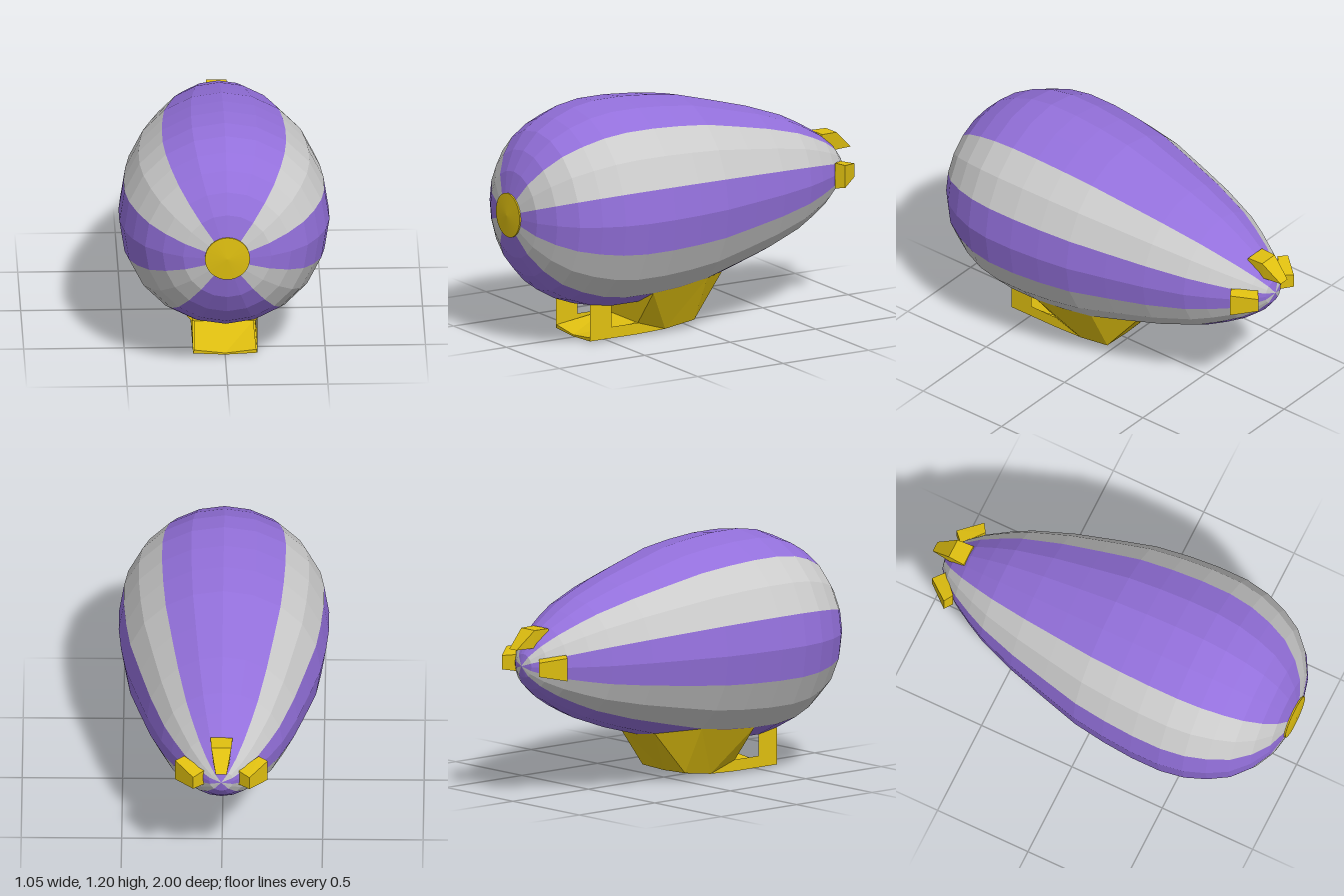
import * as THREE from 'three';
import { ConvexGeometry } from 'three/addons/geometries/ConvexGeometry.js';

const AXIS_Y = 0.677;
const paint = (color, side = THREE.FrontSide) =>
  new THREE.MeshStandardMaterial({ color, side, flatShading: true });

export function createModel() {
  const model = new THREE.Group();
  model.name = 'airship';
  const purple = paint(0x9370db), grey = paint(0xcccccc);
  const gold = paint(0xe0c010), goldShell = paint(0xe0c010, THREE.DoubleSide);

  const add = (name, geometry, material, parent = model) => {
    const mesh = new THREE.Mesh(geometry, material);
    mesh.name = name;
    parent.add(mesh);
    return mesh;
  };
  // Revolve [radius, z] pairs about the long axis; angle 0 points down
  const revolve = (profile, segments, start = 0, length = Math.PI * 2) =>
    new THREE.LatheGeometry(profile.map(p => new THREE.Vector2(...p)), segments, start, length)
      .rotateX(Math.PI / 2).translate(0, AXIS_Y, 0);

  // Envelope: 20 facets around, split into coloured stripes
  const hull = [
    [0, -0.945], [0.06, -0.93], [0.125, -0.88], [0.19, -0.8], [0.25, -0.7], [0.302, -0.6],
    [0.375, -0.4], [0.432, -0.2], [0.486, 0], [0.51, 0.17], [0.523, 0.33], [0.523, 0.485],
    [0.503, 0.61], [0.462, 0.72], [0.405, 0.82], [0.32, 0.9], [0.22, 0.957], [0.112, 0.985], [0, 0.988],
  ];
  const envelope = new THREE.Group();
  envelope.name = 'envelope';
  model.add(envelope);
  const step = Math.PI / 10;
  let facet = -2;
  [4, 2, 2, 2, 4, 2, 2, 2].forEach((count, i) => {
    add(i % 2 ? 'greyStripe' : 'purpleStripe', revolve(hull, count, facet * step, count * step),
      i % 2 ? grey : purple, envelope);
    facet += count;
  });

  // Nose cap
  add('noseCap', revolve([[0.112, 0.975], [0.112, 0.992], [0, 1]], 32), gold);

  // Tail fins: corners are [distance from axis, z, half width]
  const fin = (name, corners, turn) => {
    const points = corners.flatMap(([r, z, w]) =>
      [new THREE.Vector3(-w, r, z), new THREE.Vector3(w, r, z)]);
    const mesh = add(name, new ConvexGeometry(points), gold);
    mesh.position.y = AXIS_Y;
    mesh.rotation.z = turn;
  };
  fin('topFin', [[0.17, -0.81, 0.055], [0.182, -0.815, 0.055], [0.182, -0.9, 0.05],
    [0.09, -1, 0.027], [0.09, -0.9, 0.04]], 0);
  const sideFin = [[0.185, -0.81, 0.065], [0.23, -0.84, 0.058],
    [0.14, -0.95, 0.035], [0.085, -0.9, 0.042]];
  fin('leftFin', sideFin, -Math.PI / 2);
  fin('rightFin', sideFin, Math.PI / 2);

  // Gondola: corner points of the left half, mirrored to the right
  const frontLow = [0.16, 0.012, 0.61], frontTop = [0.16, 0.2, 0.61];
  const postLow = [0.16, 0.012, 0.485], postTop = [0.16, 0.182, 0.485];
  const sillFront = [0.16, 0.07, 0.485], sillRear = [0.16, 0.07, 0.33];
  const rearLow = [0.16, 0.012, 0.33], rearTop = [0.16, 0.182, 0.33];
  const chine1 = [0.16, 0.018, 0.17], chine2 = [0.16, 0.042, 0], chine3 = [0.134, 0.262, -0.18];
  const flare1 = [0.307, 0.254, 0.33], flare2 = [0.286, 0.285, 0], flare3 = [0.256, 0.325, -0.18];
  const keel0 = [0, 0.004, 0.61], keel1 = [0, 0, 0.17], keel2 = [0, 0.036, 0], keel3 = [0, 0.243, -0.18];
  const floorFront = [0.155, 0.03, 0.61], floorRear = [0.148, 0.07, 0.33];
  const floorMid = [0, 0.012, 0.61], floorMidRear = [0, 0.07, 0.33];

  const parts = {
    // Walls around the side window
    cabinWall: [[frontLow, postLow, postTop, frontTop], [postLow, rearLow, sillRear, sillFront]],
    // Wide rear fairing running up to the envelope
    fairing: [[flare1, rearTop, sillRear], [flare1, sillRear, chine1], [sillRear, rearLow, chine1],
      [flare1, chine1, flare2], [chine1, chine2, flare2], [flare2, chine2, chine3, flare3]],
    // Shallow V bottom
    keel: [[keel0, keel1, chine1, frontLow], [keel1, keel2, chine2, chine1],
      [keel2, keel3, chine3, chine2]],
    // Floor, front lip and bulkhead inside the open cabin
    cabinInterior: [[floorMid, floorFront, floorRear, floorMidRear],
      [keel0, frontLow, floorFront, floorMid], [floorRear, sillRear, rearTop],
      [floorMidRear, floorRear, rearTop, [0, 0.182, 0.33]]],
  };
  const gondola = new THREE.Group();
  gondola.name = 'gondola';
  model.add(gondola);
  for (const [name, faces] of Object.entries(parts)) {
    const positions = [];
    for (const side of [1, -1]) for (const face of faces)
      for (let i = 1; i < face.length - 1; i++)
        for (const [x, y, z] of [face[0], face[i], face[i + 1]]) positions.push(side * x, y, z);
    const geometry = new THREE.BufferGeometry();
    geometry.setAttribute('position', new THREE.Float32BufferAttribute(positions, 3));
    geometry.computeVertexNormals();
    add(name, geometry, goldShell, gondola);
  }
  return model;
}
